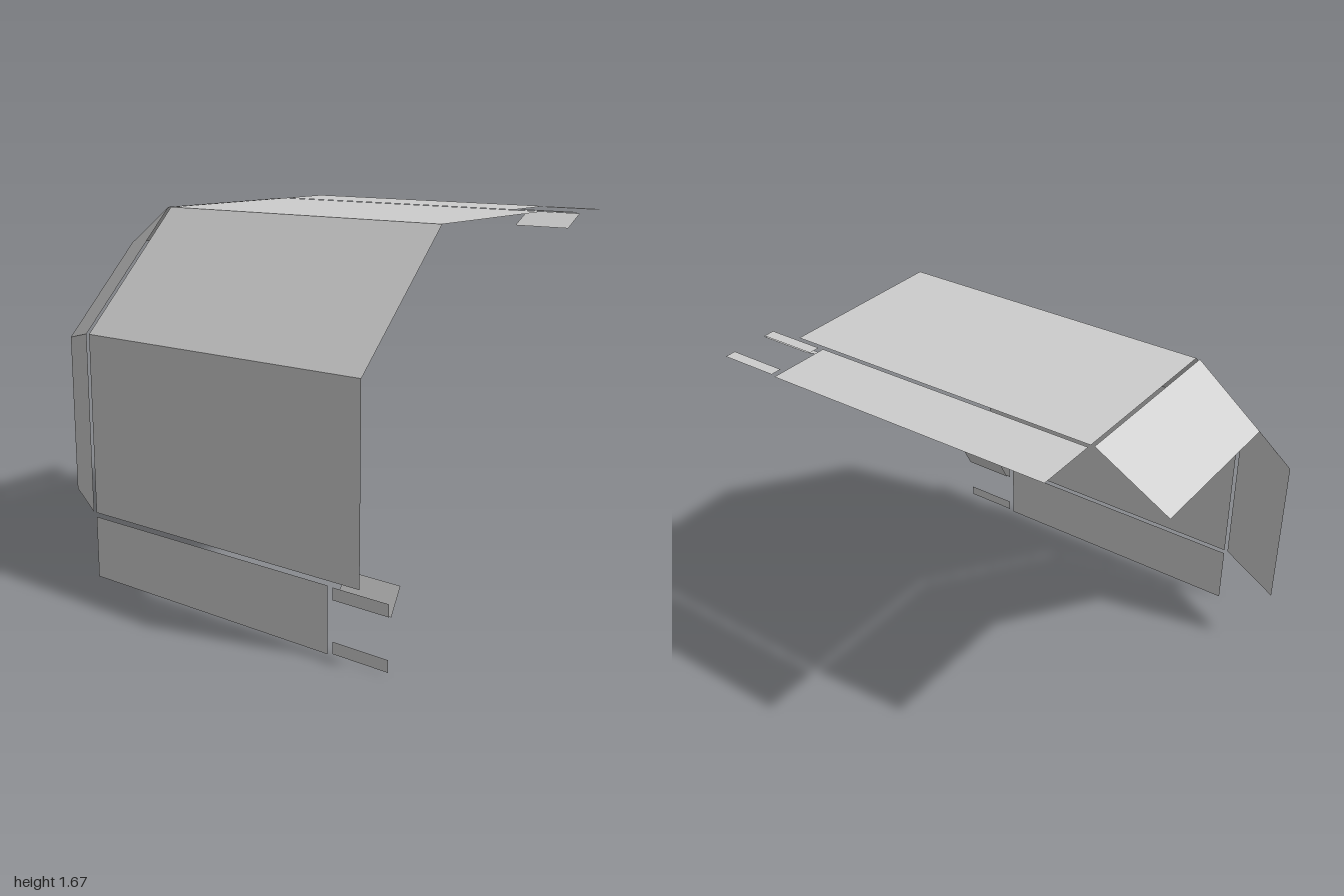
import * as THREE from 'three';

const grey = new THREE.MeshStandardMaterial({ color: 0xcccccc, side: THREE.DoubleSide });
grey.name = 'light grey';

// Folded sheet spanned between a front profile and a back profile of [x, y] points
function sheet(name, front, zFront, back, zBack) {
  const pos = [];
  for (let i = 0; i < front.length - 1; i++) {
    const a = [...front[i], zFront], b = [...front[i + 1], zFront];
    const c = [...back[i + 1], zBack], d = [...back[i], zBack];
    pos.push(...a, ...b, ...c, ...a, ...c, ...d);
  }
  const g = new THREE.BufferGeometry();
  g.setAttribute('position', new THREE.Float32BufferAttribute(pos, 3));
  g.computeVertexNormals();
  const mesh = new THREE.Mesh(g, grey);
  mesh.name = name;
  return mesh;
}

export function createModel() {
  const group = new THREE.Group();
  group.name = 'foldedShell';
  const add = (name, p, z0, z1, q = p) => group.add(sheet(name, p, z0, q, z1));

  // Outer profile from the wall, over the slope, along the roof
  const outer = [[-0.83, 0.31], [-0.83, 1.14], [-0.3, 1.67], [0.525, 1.67]];
  const inner = [[-0.635, 0.31], [-0.635, 1.06], [-0.22, 1.475], [0.525, 1.475]];

  // Main wall, slope and roof
  ['wallPanel', 'slopePanel', 'roofPanel'].forEach((name, i) =>
    add(name, outer.slice(i, i + 2), 0.855, -0.643));

  // Chamfered rear border
  ['rearWallBevel', 'rearSlopeBevel', 'rearRoofBevel'].forEach((name, i) =>
    add(name, outer.slice(i, i + 2), -0.66, -1, inner.slice(i, i + 2)));

  // The wall end and the roof end mirror each other across the slope's diagonal:
  // s runs along the surface from the free edge, d is the depth below it
  const ends = {
    wall: (s, d) => [-0.83 + d, s],
    roof: (s, d) => [0.833 - s, 1.67 - d],
  };
  for (const [end, at] of Object.entries(ends)) {
    add(end + 'EdgePanel', [at(0, 0), at(0.29, 0)], 0.7, -0.643);
    add(end + 'OuterTab', [at(0.008, 0), at(0.06, 0)], 0.993, 0.724);
    add(end + 'InnerTab', [at(0.235, 0), at(0.288, 0)], 0.993, 0.724);
    add(end + 'TiltedTab', [at(0.235, 0.006), at(0.343, 0.064)], 1, 0.74);
  }
  return group;
}
